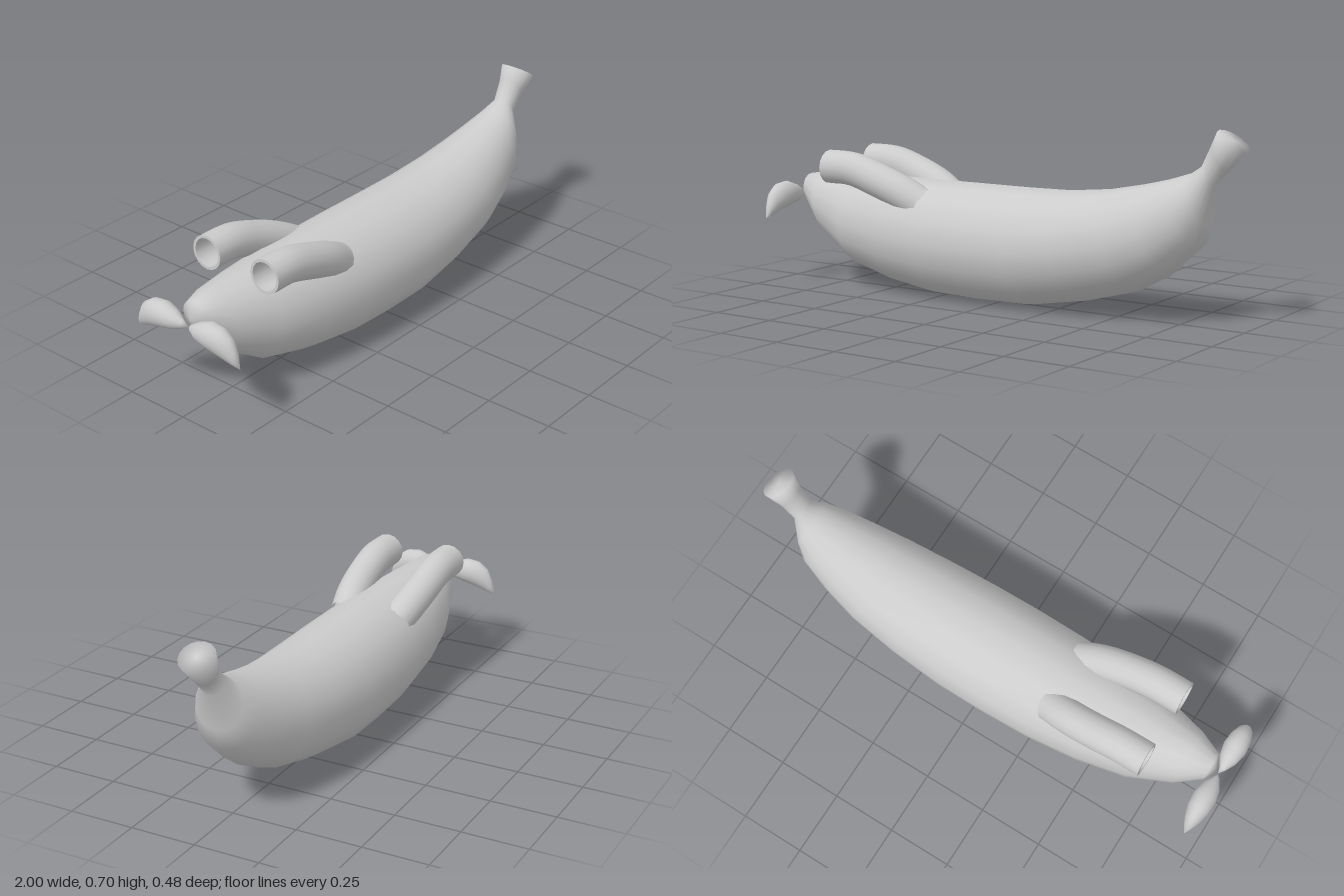
import * as THREE from 'three';

const material = new THREE.MeshStandardMaterial({ color: 0xcccccc, side: THREE.DoubleSide });

// Closed skin over elliptical rings { c: centre, u, v: half axes }, with a point at each end.
function loft(rings, start, end, sides = 16) {
  const pos = [], index = [];
  for (const { c, u, v } of rings) {
    for (let j = 0; j < sides; j++) {
      const a = (j / sides) * Math.PI * 2;
      const p = c.clone().addScaledVector(u, Math.cos(a)).addScaledVector(v, Math.sin(a));
      pos.push(p.x, p.y, p.z);
    }
  }
  const first = rings.length * sides, last = first + 1, tail = (rings.length - 1) * sides;
  pos.push(...start, ...end);
  for (let j = 0; j < sides; j++) {
    const k = (j + 1) % sides;
    for (let i = 0; i < rings.length - 1; i++) {
      const a = i * sides + j, b = i * sides + k;
      index.push(a, b, a + sides, b, b + sides, a + sides);
    }
    index.push(first, k, j, last, tail + j, tail + k);
  }
  const geo = new THREE.BufferGeometry();
  geo.setAttribute('position', new THREE.Float32BufferAttribute(pos, 3));
  geo.setIndex(index);
  geo.computeVertexNormals();
  return geo;
}

const V = (x, y, z) => new THREE.Vector3(x, y, z);

function add(parent, name, geometry) {
  const mesh = new THREE.Mesh(geometry, material);
  mesh.name = name;
  parent.add(mesh);
  return mesh;
}

// Curved fruit body: bottom x, y, top x, y, half width
const BODY = [
  [-0.915, 0.31, -0.92, 0.42, 0.055],
  [-0.82, 0.19, -0.83, 0.435, 0.108],
  [-0.66, 0.085, -0.66, 0.437, 0.165],
  [-0.47, 0.035, -0.45, 0.44, 0.2],
  [-0.26, 0.005, -0.26, 0.44, 0.217],
  [-0.06, 0, -0.06, 0.44, 0.222],
  [0.14, 0.003, 0.12, 0.44, 0.22],
  [0.37, 0.043, 0.3, 0.443, 0.207],
  [0.58, 0.1, 0.465, 0.46, 0.185],
  [0.71, 0.17, 0.6, 0.487, 0.157],
  [0.83, 0.28, 0.7, 0.512, 0.125],
  [0.85, 0.36, 0.786, 0.54, 0.093],
  [0.88, 0.5, 0.83, 0.57, 0.045],
  [0.93, 0.556, 0.866, 0.647, 0.05],
  [0.997, 0.626, 0.89, 0.697, 0.068],
];

function bodyGeometry() {
  const rings = BODY.map(([bx, by, tx, ty, w]) => ({
    c: V((bx + tx) / 2, (by + ty) / 2, 0),
    u: V((tx - bx) / 2, (ty - by) / 2, 0),
    v: V(0, 0, w),
  }));
  return loft(rings, [-0.94, 0.36, 0], [0.945, 0.663, 0]);
}

// Drooping tail blade: distance from centre, bottom y, top y, half width
const BLADE = [
  [0.02, 0.325, 0.355, 0.012],
  [0.06, 0.31, 0.38, 0.034],
  [0.11, 0.3, 0.398, 0.045],
  [0.16, 0.288, 0.393, 0.041],
  [0.2, 0.274, 0.367, 0.028],
  [0.222, 0.268, 0.325, 0.015],
];

function bladeGeometry(side) {
  const rings = BLADE.map(([z, b, t, w]) => ({
    c: V(-0.955, (b + t) / 2, side * z), u: V(w, 0, 0), v: V(0, (t - b) / 2, 0),
  }));
  const root = [-0.95, 0.335, 0], tip = [-0.955, 0.265, side * 0.24];
  return side > 0 ? loft(rings, root, tip) : loft(rings.reverse(), tip, root);
}

// Hollow pipe rising out of the body and opening towards the tail
function makePipe(name, side) {
  const pipe = new THREE.Group();
  pipe.name = name;
  const path = new THREE.CatmullRomCurve3([
    V(-0.715, 0.475, side * 0.135), V(-0.6, 0.472, side * 0.135),
    V(-0.48, 0.437, side * 0.132), V(-0.38, 0.398, side * 0.122), V(-0.3, 0.355, side * 0.105),
  ]);
  add(pipe, 'pipeWall', new THREE.TubeGeometry(path, 20, 0.065, 16));
  add(pipe, 'pipeBore', new THREE.TubeGeometry(path, 20, 0.054, 16));
  const rim = add(pipe, 'pipeRim', new THREE.RingGeometry(0.054, 0.065, 16));
  rim.position.copy(path.getPoint(0));
  rim.lookAt(rim.position.clone().sub(path.getTangent(0)));
  return pipe;
}

export function createModel() {
  const model = new THREE.Group();
  model.name = 'fruitCraft';
  add(model, 'body', bodyGeometry());
  for (const [label, side] of [['front', 1], ['back', -1]]) {
    add(model, label + 'TailBlade', bladeGeometry(side));
    model.add(makePipe(label + 'Pipe', side));
  }
  return model;
}
